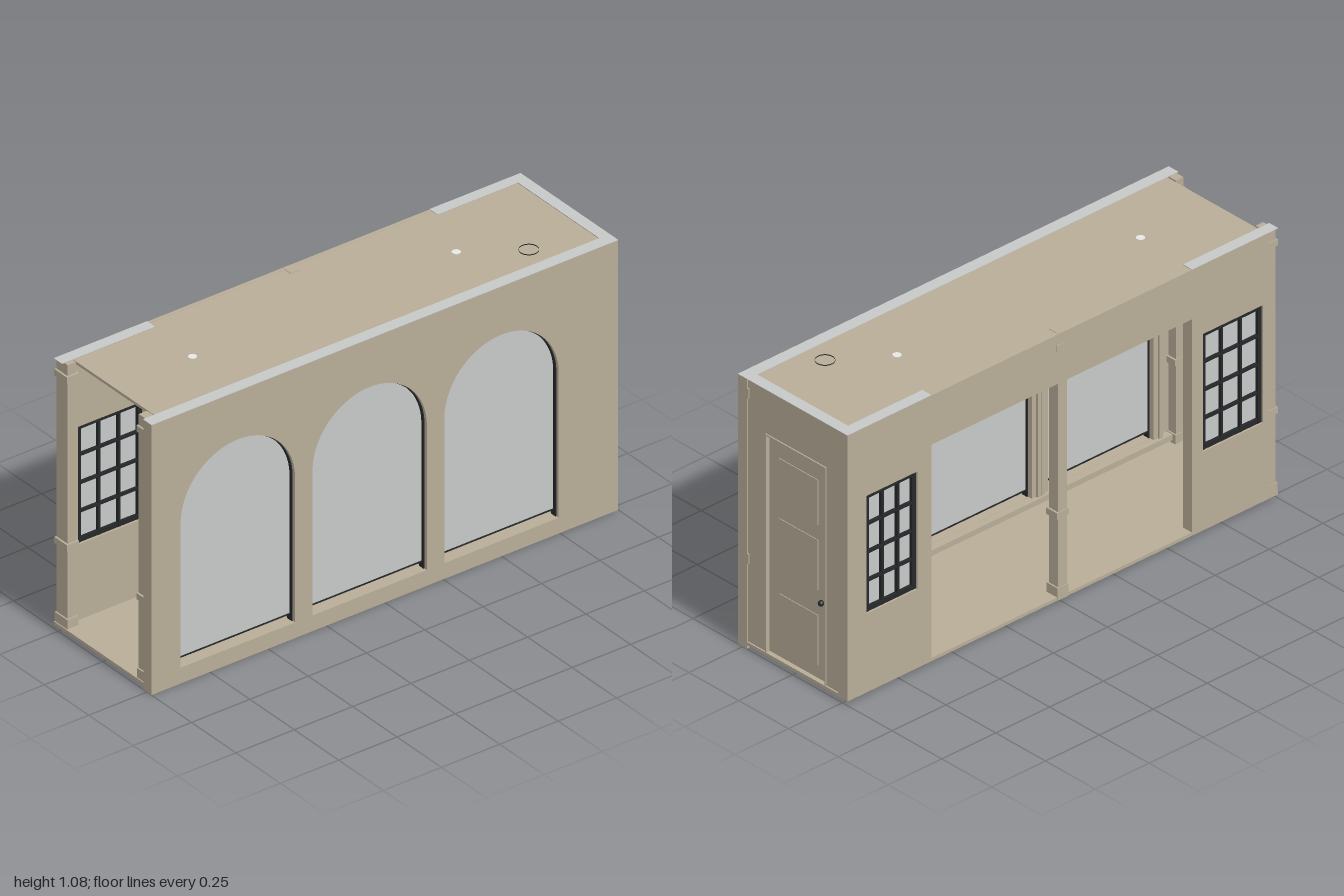
import * as THREE from 'three';

const mat = (name, color) => {
  const m = new THREE.MeshStandardMaterial({ color, side: THREE.DoubleSide });
  m.name = name;
  return m;
};

export function createModel() {
  const plaster = mat('beige plaster', 0xb8ad98);
  const grey = mat('pale grey', 0xc6c9c8);
  const dark = mat('dark metal', 0x25282a);
  const white = mat('lamp white', 0xe8e8e6);
  const root = new THREE.Group();
  root.name = 'room';

  const add = (name, geo, m, parent = root) => {
    const mesh = new THREE.Mesh(geo, m);
    mesh.name = name;
    parent.add(mesh);
    return mesh;
  };
  // box given by its minimum and maximum corners
  const box = (name, m, x0, x1, y0, y1, z0, z1, parent = root) => {
    const g = new THREE.BoxGeometry(x1 - x0, y1 - y0, z1 - z0);
    g.translate((x0 + x1) / 2, (y0 + y1) / 2, (z0 + z1) / 2);
    return add(name, g, m, parent);
  };
  const rect = (x0, x1, y0, y1, T = THREE.Shape) => {
    const p = new T();
    p.moveTo(x0, y0); p.lineTo(x1, y0); p.lineTo(x1, y1); p.lineTo(x0, y1); p.closePath();
    return p;
  };
  // round-headed opening: centre, half width, bottom, spring height
  const SPRING = 0.64, HALF = 0.245, BOTTOM = 0.063;
  const arch = (cx, r, y0, T = THREE.Shape) => {
    const p = new T();
    p.moveTo(cx - r, y0); p.lineTo(cx + r, y0); p.lineTo(cx + r, SPRING);
    p.absarc(cx, SPRING, r, 0, Math.PI, false);
    p.closePath();
    return p;
  };
  const slab = (shape, z0, z1) => {
    const g = new THREE.ExtrudeGeometry(shape, { depth: z1 - z0, bevelEnabled: false, curveSegments: 32 });
    g.translate(0, 0, z0);
    return g;
  };
  // open-footed arch band
  const archBand = (cx, outer, inner, y0) => {
    const s = new THREE.Shape();
    s.moveTo(cx + inner, y0); s.lineTo(cx + outer, y0); s.lineTo(cx + outer, SPRING);
    s.absarc(cx, SPRING, outer, 0, Math.PI, false);
    s.lineTo(cx - outer, y0); s.lineTo(cx - inner, y0); s.lineTo(cx - inner, SPRING);
    s.absarc(cx, SPRING, inner, Math.PI, 0, true);
    s.closePath();
    return s;
  };

  // Front wall with three arched windows
  const centres = [-0.63, -0.065, 0.5];
  const front = rect(-1, 1, 0, 1.077);
  centres.forEach(c => front.holes.push(arch(c, HALF, BOTTOM, THREE.Path)));
  add('frontWall', slab(front, 0.23, 0.275), plaster);
  centres.forEach(c => {
    const w = new THREE.Group();
    w.name = 'archedWindow';
    root.add(w);
    add('archGlass', slab(arch(c, HALF - 0.001, 0.09), 0.243, 0.249), grey, w);
    add('archFrame', slab(archBand(c, HALF, HALF - 0.004, BOTTOM), 0.236, 0.262), dark, w);
    box('glassFoot', dark, c - HALF, c + HALF, 0.085, 0.09, 0.24, 0.252, w);
    add('archTrim', slab(archBand(c, HALF + 0.036, HALF, BOTTOM), 0.216, 0.23), plaster, w);
    add('archBead', slab(archBand(c, HALF + 0.036, HALF + 0.02, BOTTOM), 0.207, 0.216), plaster, w);
  });
  box('innerSill', plaster, -0.95, 0.955, 0.04, 0.062, 0.2, 0.23);
  box('skirting', plaster, -0.95, 0.955, 0.03, 0.04, 0.215, 0.23);
  box('corniceLower', plaster, -0.95, 0.955, 0.955, 0.985, 0.212, 0.23);
  box('corniceUpper', plaster, -0.95, 0.955, 0.985, 1.01, 0.197, 0.23);

  // Floor and ceiling
  box('floor', plaster, -1, 1, 0.015, 0.028, -0.275, 0.23);
  box('ceiling', plaster, -0.95, 0.955, 1.065, 1.076, -0.262, 0.23);

  // Back wall: two panels with grid windows and a lintel between them
  const backPanel = (x0, x1, wx0, wx1) => {
    const wy0 = 0.33, wy1 = 0.8;
    const s = rect(x0, x1, 0.028, 1.077);
    s.holes.push(rect(wx0, wx1, wy0, wy1, THREE.Path));
    add('backWall', slab(s, -0.275, -0.23), plaster);
    const w = new THREE.Group();
    w.name = 'gridWindow';
    root.add(w);
    box('gridGlass', grey, wx0, wx1, wy0, wy1, -0.255, -0.25, w);
    for (let i = 0; i <= 3; i++) {
      const t = i % 3 ? 0.005 : 0.009;
      const x = THREE.MathUtils.lerp(wx0 + 0.009, wx1 - 0.009, i / 3);
      box('uprightBar', dark, x - t, x + t, wy0, wy1, -0.268, -0.238, w);
    }
    for (let i = 0; i <= 4; i++) {
      const t = i % 4 ? 0.005 : 0.009;
      const y = THREE.MathUtils.lerp(wy0 + 0.009, wy1 - 0.009, i / 4);
      box('crossBar', dark, wx0, wx1, y - t, y + t, -0.267, -0.239, w);
    }
  };
  backPanel(-0.955, -0.6, -0.93, -0.65);
  backPanel(0.61, 1, 0.675, 0.91);
  box('lintel', plaster, -0.6, 0.61, 0.88, 1.077, -0.275, -0.262);

  // Posts with bracket hooks
  const post = (x0, x1, z0, z1) => {
    box('post', plaster, x0, x1, 0.015, 1.078, z0, z1);
    box('postFoot', plaster, x0 - 0.006, x1 + 0.006, 0.015, 0.065, z0 - 0.003, z1 + 0.006);
    [0.34, 1.01].forEach(y =>
      box('bracket', plaster, x0 - 0.008, x1 + 0.008, y, y + 0.025, z0 - 0.003, z1 + 0.008));
  };
  post(-0.02, 0.02, -0.274, -0.228);
  post(-0.99, -0.955, -0.272, -0.21);
  post(-0.99, -0.955, 0.19, 0.228);

  // Right wall with doorway (drawn with x standing for -z)
  const side = new THREE.Shape();
  [[-0.23, 0.028], [-0.14, 0.028], [-0.14, 0.896], [0.165, 0.896], [0.165, 0.028],
    [0.23, 0.028], [0.23, 1.077], [-0.23, 1.077]]
    .forEach(([x, y], i) => (i ? side.lineTo(x, y) : side.moveTo(x, y)));
  side.closePath();
  const sideGeo = slab(side, 0.955, 0.994);
  sideGeo.rotateY(Math.PI / 2);
  add('doorWall', sideGeo, plaster);
  box('cornerFoot', plaster, 0.95, 1, 0.015, 0.065, -0.275, -0.228);
  [0.34, 1.0].forEach(y => box('cornerBracket', plaster, 0.97, 0.999, y, y + 0.04, 0.222, 0.232));

  // Door
  const door = new THREE.Group();
  door.name = 'door';
  root.add(door);
  box('doorLeaf', plaster, 0.963, 0.982, 0.02, 0.882, -0.159, 0.134, door);
  [[0.134, 0.14], [-0.165, -0.159]].forEach(([a, b]) =>
    box('doorJamb', plaster, 0.95, 0.999, 0.02, 0.896, a, b, door));
  box('doorHead', plaster, 0.95, 0.999, 0.893, 0.899, -0.165, 0.14, door);
  [[0.08, 0.28], [0.38, 0.58], [0.64, 0.82]].forEach(([a, b]) =>
    box('doorPanel', plaster, 0.96, 0.985, a, b, -0.11, 0.085, door));
  [0.955, 0.99].forEach(x => {
    const knob = add('doorKnob', new THREE.SphereGeometry(0.011, 16, 12), dark, door);
    knob.position.set(x, 0.34, -0.132);
  });

  // Pale caps along the tops of the walls
  box('frontCap', grey, -1, 1, 1.077, 1.079, 0.227, 0.275);
  box('sideCap', grey, 0.955, 1, 1.077, 1.079, -0.275, 0.227);
  box('backCapRight', grey, -1, -0.6, 1.077, 1.079, -0.275, -0.23);
  box('backCapLeft', grey, 0.61, 0.955, 1.077, 1.079, -0.275, -0.23);

  // Ceiling lamps and roof ring
  [-0.615, 0.515].forEach(x => {
    const lamp = new THREE.Group();
    lamp.name = 'ceilingLamp';
    lamp.position.x = x;
    root.add(lamp);
    const stem = add('lampStem', new THREE.CylinderGeometry(0.016, 0.016, 0.047, 20), white, lamp);
    stem.position.y = 1.054;
    const bowl = [[0.001, 0.985], [0.025, 0.99], [0.042, 1.003], [0.048, 1.022], [0.048, 1.032], [0.001, 1.034]];
    add('lampBowl', new THREE.LatheGeometry(bowl.map(p => new THREE.Vector2(...p)), 28), white, lamp);
  });
  const ring = add('roofRing', new THREE.CylinderGeometry(0.035, 0.035, 0.005, 32, 1, true), dark);
  ring.position.set(0.72, 1.0775, 0.14);

  return root;
}
